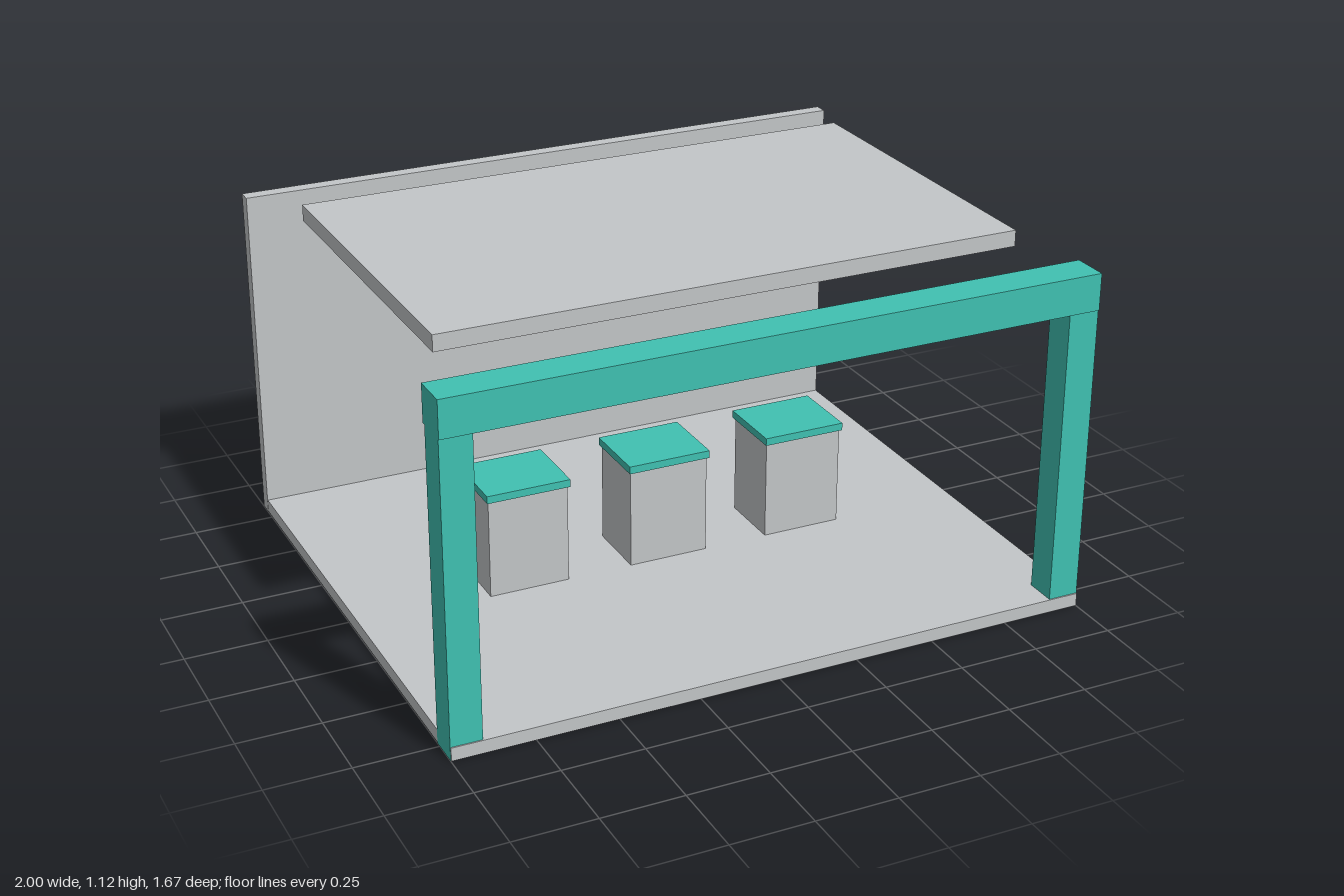
import * as THREE from 'three';

export function createModel() {
  const model = new THREE.Group();
  model.name = 'pavilion';

  const grey = new THREE.MeshStandardMaterial({ color: 0xc3c6c8 });
  grey.name = 'light grey';
  const teal = new THREE.MeshStandardMaterial({ color: 0x40c1b2 });
  teal.name = 'teal';

  // Box given by its extents along each axis
  function box(name, material, [x0, x1], [y0, y1], [z0, z1], parent = model) {
    const mesh = new THREE.Mesh(new THREE.BoxGeometry(x1 - x0, y1 - y0, z1 - z0), material);
    mesh.position.set((x0 + x1) / 2, (y0 + y1) / 2, (z0 + z1) / 2);
    mesh.name = name;
    parent.add(mesh);
    return mesh;
  }

  // Floor slab, back wall and floating roof panel
  box('floor', grey, [-0.999, 0.999], [0.001, 0.042], [-0.79, 0.835]);
  box('backWall', grey, [-1, 1], [0.001, 1.07], [-0.835, -0.79]);
  box('roof', grey, [-0.9, 0.9], [1.065, 1.115], [-0.545, 0.54]);

  // Front portal: two posts let into the floor, and a deeper beam
  box('rightPost', teal, [-1, -0.905], [0, 0.957], [0.732, 0.831]);
  box('leftPost', teal, [0.905, 1], [0.002, 0.957], [0.732, 0.831]);
  box('beam', teal, [-1, 1], [0.957, 1.07], [0.72, 0.835]);

  // Row of three pedestals with overhanging caps
  for (const x of [-0.463, -0.003, 0.457]) {
    const pedestal = new THREE.Group();
    pedestal.name = 'pedestal';
    pedestal.position.x = x;
    box('pedestalBody', grey, [-0.127, 0.127], [0.042, 0.356], [-0.105, 0.105], pedestal);
    box('pedestalCap', teal, [-0.133, 0.133], [0.356, 0.38], [-0.114, 0.114], pedestal);
    model.add(pedestal);
  }

  return model;
}
